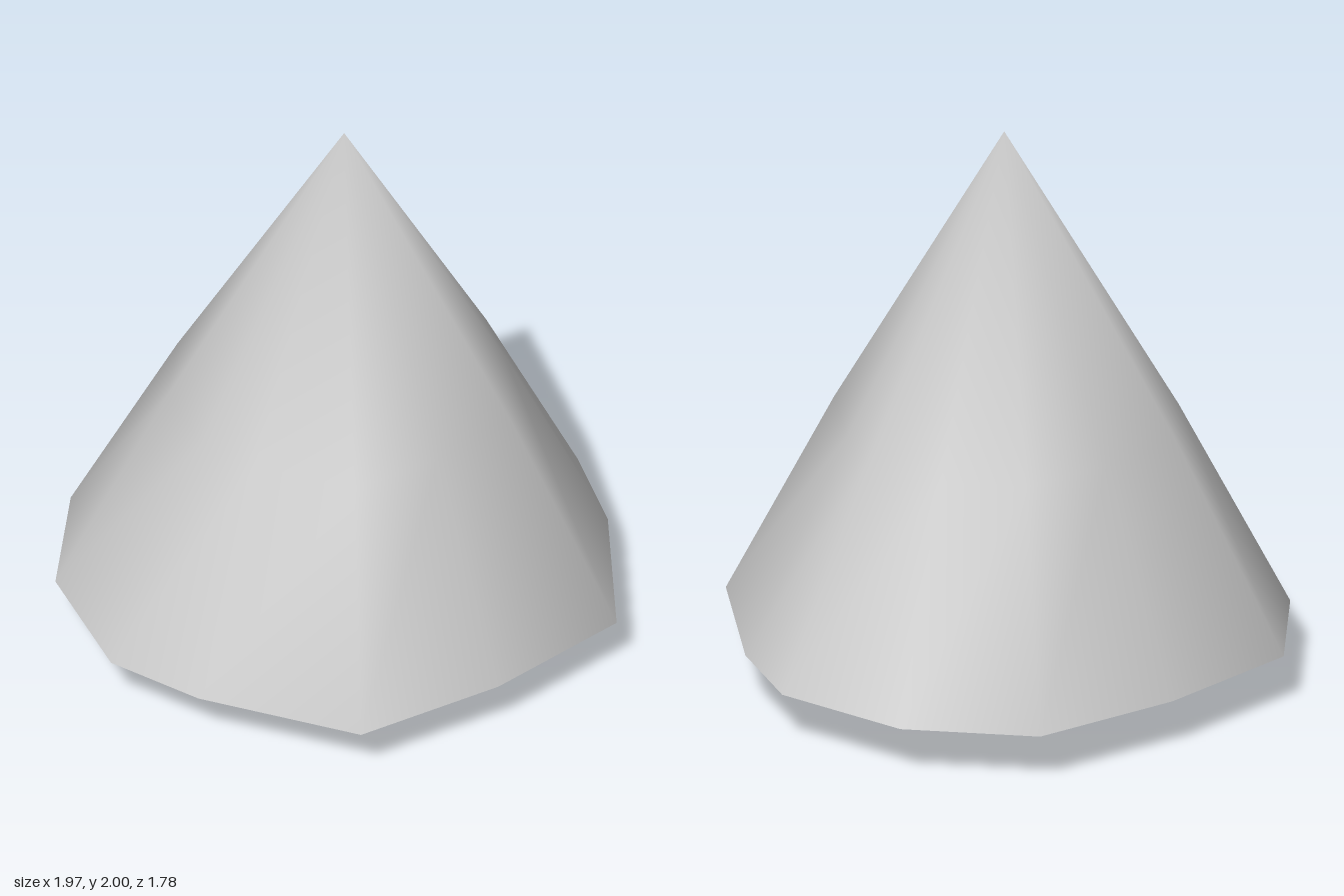
import * as THREE from 'three';

// Smooth closed loft: rings run from bottom to top, seen from above anticlockwise.
// A ring with a single point is a pole, so its fan shares one averaged normal.
function loft(name, rings, material) {
  const positions = [], index = [], starts = [];
  for (const ring of rings) {
    starts.push(positions.length / 3);
    ring.forEach((p) => positions.push(...p));
  }
  for (let r = 0; r < rings.length - 1; r++) {
    const low = rings[r].length, high = rings[r + 1].length;
    const n = Math.max(low, high), a = starts[r], b = starts[r + 1];
    for (let i = 0; i < n; i++) {
      const j = (i + 1) % n;
      if (low > 1) index.push(a + i, a + j, b + (j % high));
      if (high > 1) index.push(a + (i % low), b + j, b + i);
    }
  }
  const geometry = new THREE.BufferGeometry();
  geometry.setAttribute('position', new THREE.Float32BufferAttribute(positions, 3));
  geometry.setIndex(index);
  geometry.computeVertexNormals();
  const mesh = new THREE.Mesh(geometry, material);
  mesh.name = name;
  return mesh;
}

export function createModel() {
  const group = new THREE.Group();
  group.name = 'coneTree';
  const material = new THREE.MeshStandardMaterial({ color: 0xcccccc });

  // Uneven twelve-sided outline of the foliage: +x half, then its mirror
  const half = [[0, 0.89], [0.54, 0.835], [0.865, 0.34], [0.985, 0],
    [0.865, -0.485], [0.54, -0.84], [0, -0.895]];
  const outline = [...half, ...half.slice(1, -1).reverse().map(([x, z]) => [-x, z])];
  const foliageRing = (y, s) => outline.map(([x, z]) => [x * s, y, z * s]);

  // Foliage: slightly bulging cone, with a flat underside kept sharp at the rim
  const rim = foliageRing(0.18, 1);
  group.add(loft('foliage', [rim, foliageRing(0.94, 0.61), [[0, 2, 0]]], material));
  group.add(loft('foliageUnderside', [[[0, 0.18, 0]], rim], material));

  // Trunk: eight-sided, set back from the centre, its top hidden in the foliage
  const cx = -0.01, cz = -0.175;
  const trunkRing = (y) => Array.from({ length: 8 }, (_, i) => {
    const a = (i * Math.PI) / 4;
    return [cx + 0.19 * Math.sin(a), y, cz + 0.215 * Math.cos(a)];
  });
  group.add(loft('trunk',
    [[[cx, 0, cz]], trunkRing(0), trunkRing(0.4), [[cx, 0.4, cz]]], material));

  return group;
}
